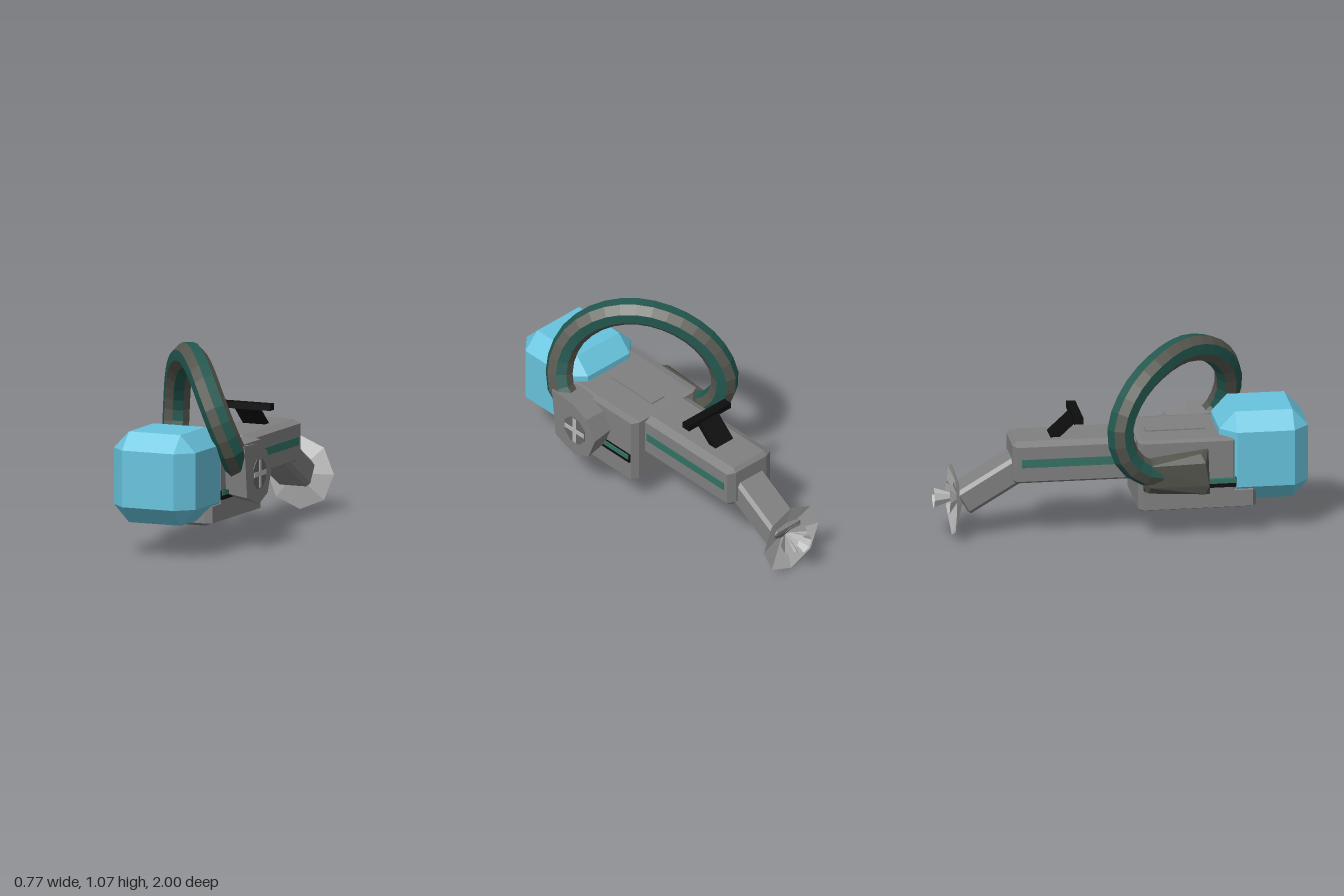
import * as THREE from 'three';
import { ConvexGeometry } from 'three/addons/geometries/ConvexGeometry.js';

const mat = (name, color, extra = {}) => {
  const m = new THREE.MeshStandardMaterial({ color, flatShading: true, ...extra });
  m.name = name;
  return m;
};

// Box with bevelled edges; c gives the bevel along each axis
function bevelBox(w, h, d, c) {
  const half = [w / 2, h / 2, d / 2];
  const points = [];
  for (let axis = 0; axis < 3; axis++)
    for (let bits = 0; bits < 8; bits++) {
      const p = half.map((s, i) => (bits >> i & 1 ? 1 : -1) * (i === axis ? s : s - c[i]));
      points.push(new THREE.Vector3(...p));
    }
  return new ConvexGeometry(points);
}

export function createModel() {
  const group = new THREE.Group();
  const blue = mat('tank blue', 0x68c4de);
  const grey = mat('body grey', 0x808080);
  const darkGrey = mat('dial grey', 0x676767);
  const light = mat('light metal', 0xbababa, { side: THREE.DoubleSide });
  const black = mat('black', 0x0d0d0d);
  const hoseGrey = mat('hose grey', 0x55554e);
  const hoseGreen = mat('hose green', 0x23574f);
  const trimGreen = mat('trim green', 0x357265);

  const add = (name, geometry, material, x = 0, y = 0, z = 0, tilt = 0) => {
    const mesh = new THREE.Mesh(geometry, material);
    mesh.name = name;
    mesh.position.set(x, y, z);
    mesh.rotation.x = tilt;
    group.add(mesh);
    return mesh;
  };
  const box = (w, h, d) => new THREE.BoxGeometry(w, h, d);

  // Tank
  add('tank', bevelBox(0.48, 0.49, 0.48, [0.088, 0.092, 0.085]), blue, 0.01, 0.425, 0.76);

  // Body: upper housing, protruding lower tray and top hatch
  add('upperBody', bevelBox(0.475, 0.30, 0.53, [0.04, 0.008, 0.02]), grey, 0.007, 0.395, 0.34);
  add('lowerBody', bevelBox(0.475, 0.12, 0.635, [0.04, 0.015, 0.02]), grey, 0.007, 0.212, 0.393);
  add('topHatch', box(0.09, 0.008, 0.32), grey, 0.005, 0.548, 0.3);

  // Barrel and sloping nozzle
  add('barrel', bevelBox(0.315, 0.235, 0.68, [0.045, 0.022, 0.02]), grey, 0.007, 0.4275, -0.25);
  add('nozzle', bevelBox(0.195, 0.145, 0.37, [0.018, 0.02, 0.01]), grey, 0.007, 0.295, -0.695, -0.54);

  // Side rails, mirrored
  for (const s of [-1, 1]) {
    add('barrelStrip', box(0.012, 0.045, 0.6), trimGreen, 0.007 + s * 0.156, 0.432, -0.245);
    add('bodyRailBase', box(0.02, 0.05, 0.5), black, 0.007 + s * 0.238, 0.305, 0.35);
    add('bodyRail', box(0.03, 0.026, 0.49), trimGreen, 0.007 + s * 0.24, 0.317, 0.35);
  }

  // Rear dish with nested flares
  const dish = new THREE.ConeGeometry(0.2, 0.065, 8, 1, true).rotateX(Math.PI / 2);
  add('dish', dish, light, 0.005, 0.202, -0.868);
  const innerDish = new THREE.ConeGeometry(0.095, 0.07, 8, 1, true).rotateX(Math.PI / 2);
  add('innerDish', innerDish, light, 0.005, 0.21, -0.887);
  const flare = new THREE.CylinderGeometry(0.018, 0.056, 0.11, 8, 1, true).rotateX(Math.PI / 2);
  add('tipFlare', flare, light, 0.005, 0.215, -0.945);

  // Sight: crossbar on a slanted stem
  add('sightBar', box(0.305, 0.035, 0.05), black, 0.003, 0.657, -0.238);
  add('sightStem', box(0.13, 0.035, 0.19), black, 0.005, 0.592, -0.302, -0.745);

  // Flared side dial, given as (z, y) corners
  const dialShape = [[0.572, 0.575], [0.41, 0.565], [0.30, 0.52], [0.235, 0.41],
    [0.285, 0.285], [0.39, 0.24], [0.54, 0.29]];
  const dialPoints = [[0.22, 0.84], [0.378, 1]].flatMap(([x, k]) =>
    dialShape.map(([z, y]) => new THREE.Vector3(x, 0.405 + (y - 0.405) * k, 0.39 + (z - 0.39) * k)));
  add('dial', new ConvexGeometry(dialPoints), grey);
  const face = new THREE.CylinderGeometry(0.085, 0.085, 0.006, 8).rotateZ(Math.PI / 2).rotateX(Math.PI / 8);
  add('dialFace', face, darkGrey, 0.379, 0.403, 0.39);
  add('dialCross', box(0.008, 0.15, 0.026), light, 0.381, 0.403, 0.39);
  add('dialCross', box(0.008, 0.026, 0.15), light, 0.381, 0.403, 0.39);

  // Hose socket on the other side
  const socket = [
    [-0.22, 0.24, 0.46], [-0.22, 0.50, 0.45], [-0.22, 0.27, 0.10], [-0.22, 0.45, 0.06],
    [-0.315, 0.27, 0.42], [-0.33, 0.32, 0.44], [-0.335, 0.45, 0.42], [-0.29, 0.49, 0.40],
    [-0.32, 0.32, 0.12], [-0.33, 0.44, 0.10], [-0.29, 0.28, 0.12],
  ].map(p => new THREE.Vector3(...p));
  add('hoseSocket', new ConvexGeometry(socket), hoseGrey);

  // Striped hose: facets along its length alternate between two colours
  const path = new THREE.CatmullRomCurve3([
    [-0.26, 0.38, 0.18], [-0.285, 0.41, 0.08], [-0.31, 0.51, -0.01], [-0.315, 0.66, -0.038],
    [-0.27, 0.83, 0.035], [-0.18, 0.95, 0.17], [-0.05, 1.003, 0.34], [0.08, 0.955, 0.5],
    [0.19, 0.83, 0.605], [0.265, 0.68, 0.625], [0.305, 0.54, 0.575], [0.29, 0.44, 0.47],
  ].map(p => new THREE.Vector3(...p)));
  const sides = 8;
  const hose = new THREE.TubeGeometry(path, 24, 0.074, sides, false);
  const stripes = [[], []];
  const index = hose.index.array;
  for (let q = 0; q < index.length / 6; q++)
    stripes[q % sides % 2].push(...index.slice(q * 6, q * 6 + 6));
  hose.setIndex([...stripes[0], ...stripes[1]]);
  hose.addGroup(0, stripes[0].length, 0);
  hose.addGroup(stripes[0].length, stripes[1].length, 1);
  add('hose', hose, [hoseGrey, hoseGreen]);

  return group;
}
